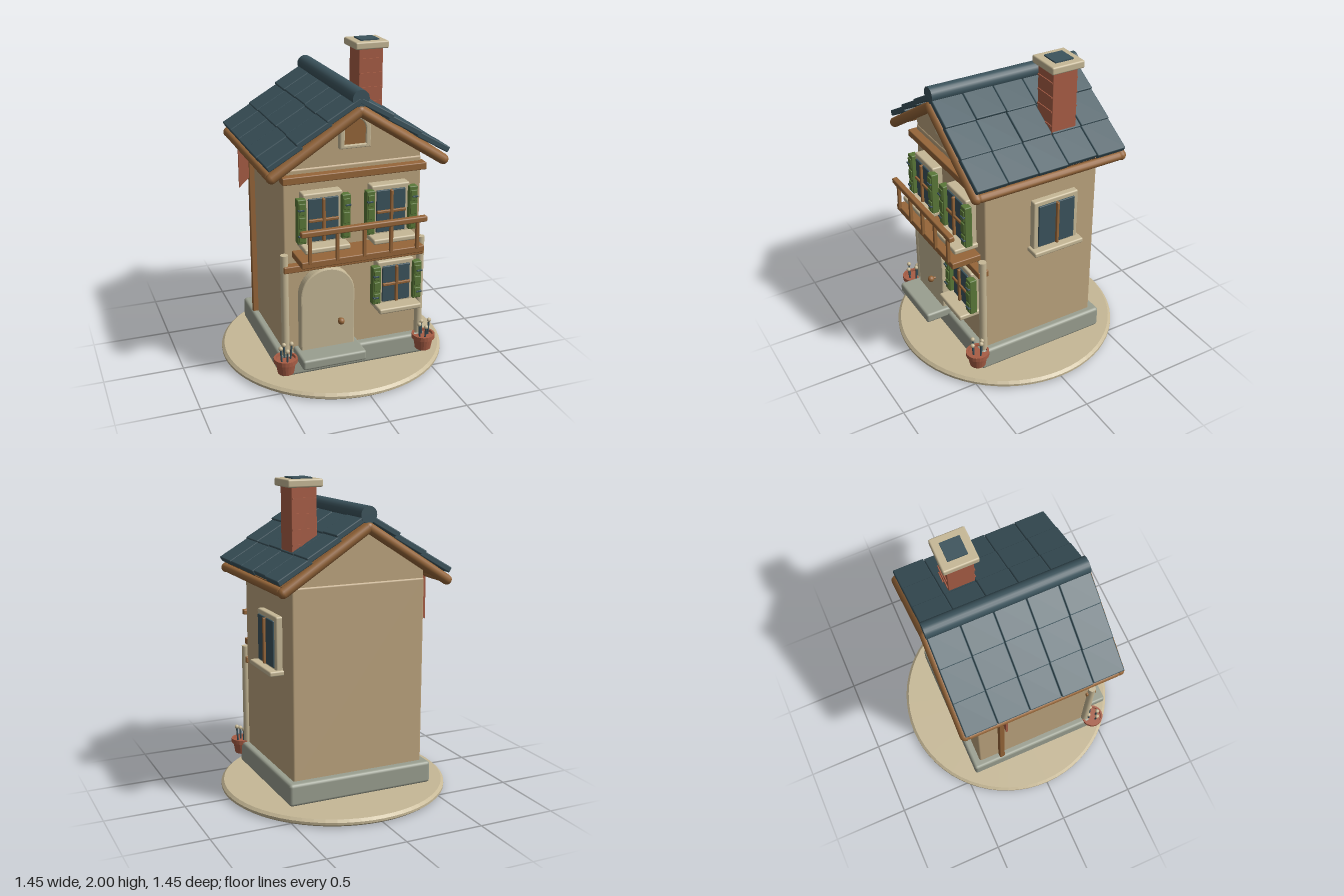
import * as THREE from 'three';
import { RoundedBoxGeometry } from 'three/addons/geometries/RoundedBoxGeometry.js';

const paint = (name, color) => {
  const m = new THREE.MeshStandardMaterial({ color });
  m.name = name;
  return m;
};

export function createModel() {
  const plaster = paint('plaster', 0xbca47e);
  const trim = paint('pale trim', 0xc6b896);
  const stone = paint('stone', 0x9a9f90);
  const slate = paint('slate blue', 0x3b535c);
  const wood = paint('wood', 0x966639);
  const brick = paint('brick', 0xa85d45);
  const green = paint('shutter green', 0x5a7838);

  const house = new THREE.Group();
  house.name = 'house';

  const add = (parent, name, geo, mat, x = 0, y = 0, z = 0) => {
    const m = new THREE.Mesh(geo, mat);
    m.name = name;
    m.position.set(x, y, z);
    parent.add(m);
    return m;
  };
  const group = (name, parent = house) => {
    const g = new THREE.Group();
    g.name = name;
    parent.add(g);
    return g;
  };
  // Box given by its x, y and z ranges, with softened edges
  const block = (parent, name, mat, x0, x1, y0, y1, z0, z1, r = 0.006) =>
    add(parent, name, r ? new RoundedBoxGeometry(x1 - x0, y1 - y0, z1 - z0, 2, r)
      : new THREE.BoxGeometry(x1 - x0, y1 - y0, z1 - z0),
    mat, (x0 + x1) / 2, (y0 + y1) / 2, (z0 + z1) / 2);
  // Round-ended beam between two points
  const rod = (parent, name, mat, a, b, r) => {
    const va = new THREE.Vector3(...a), vb = new THREE.Vector3(...b);
    const dir = vb.clone().sub(va);
    const m = add(parent, name, new THREE.CapsuleGeometry(r, dir.length(), 4, 12), mat);
    m.position.copy(va.add(vb).multiplyScalar(0.5));
    m.quaternion.setFromUnitVectors(new THREE.Vector3(0, 1, 0), dir.normalize());
    return m;
  };
  // Upright arch outline, base at y0, crown at y1
  const archShape = (Type, w, y0, y1) => {
    const s = new Type();
    s.moveTo(-w, y0);
    s.lineTo(w, y0);
    s.lineTo(w, y1 - w);
    s.absarc(0, y1 - w, w, 0, Math.PI, false);
    s.lineTo(-w, y0);
    return s;
  };
  const slab = (shape, depth, bevel = 0) => new THREE.ExtrudeGeometry(shape, {
    depth, curveSegments: 20, bevelEnabled: bevel > 0, bevelSize: bevel, bevelThickness: bevel, bevelSegments: 2, bevelOffset: -bevel,
  });

  // Ground disc
  const rim = [[0, 0], [0.705, 0], [0.725, 0.015], [0.725, 0.03], [0.708, 0.045], [0, 0.045]];
  const discGeo = new THREE.LatheGeometry(rim.map(p => new THREE.Vector2(...p)), 64).toNonIndexed();
  discGeo.computeVertexNormals();
  add(house, 'groundDisc', discGeo, trim);

  // Foundation, walls and gable
  block(house, 'foundation', stone, -0.48, 0.48, 0.07, 0.21, -0.44, 0.44, 0.02);
  block(house, 'walls', plaster, -0.436, 0.436, 0.19, 1.385, -0.388, 0.388, 0.012);
  const gable = new THREE.Shape([[-0.43, 1.36], [0.43, 1.36], [0.43, 1.45], [0, 1.73], [-0.43, 1.45]]
    .map(p => new THREE.Vector2(...p)));
  add(house, 'gable', slab(gable, 0.764), plaster, 0, 0, -0.382);
  block(house, 'upperBeam', wood, -0.45, 0.45, 1.31, 1.355, 0.37, 0.44);
  block(house, 'lowerBeam', wood, -0.45, 0.45, 0.76, 0.802, 0.37, 0.44);
  for (const s of [-1, 1])
    add(house, 'cornerColumn', new THREE.CylinderGeometry(0.024, 0.024, 0.66, 16), trim, s * 0.44, 0.54, 0.408);

  // Door with arched surround and step
  const door = group('door');
  door.position.x = -0.183;
  const surround = archShape(THREE.Shape, 0.172, 0.22, 0.765);
  surround.holes.push(archShape(THREE.Path, 0.12, 0.22, 0.712));
  add(door, 'doorSurround', slab(surround, 0.05, 0.008), trim, 0, 0, 0.4);
  add(door, 'doorLeaf', slab(archShape(THREE.Shape, 0.125, 0.22, 0.717), 0.06), slate, 0, 0, 0.38);
  for (const x of [-0.08, 0, 0.08])
    block(door, 'plankSeam', slate, x - 0.004, x + 0.004, 0.24, 0.51, 0.438, 0.446, 0);
  add(door, 'doorKnob', new THREE.SphereGeometry(0.021, 16, 12), wood, 0.073, 0.42, 0.49);
  rod(door, 'knobStem', wood, [0.073, 0.42, 0.44], [0.073, 0.42, 0.48], 0.008);
  block(door, 'doorStep', stone, -0.202, 0.203, 0.18, 0.245, 0.38, 0.59, 0.015);

  // Window facing local +z, measured from its glass size
  const addWindow = (name, w, h, sillDepth, crossBar) => {
    const g = group(name), x = w / 2, y = h / 2;
    block(g, 'windowFrame', trim, -x - 0.03, x + 0.03, -y - 0.02, y + 0.03, -0.05, 0.04, 0.01);
    block(g, 'windowGlass', slate, -x, x, -y, y, 0, 0.05, 0.004);
    block(g, 'mullion', wood, -0.009, 0.009, -y, y, 0.03, 0.066, 0.004);
    if (crossBar) block(g, 'crossBar', wood, -x, x, -0.009, 0.009, 0.03, 0.062, 0.004);
    block(g, 'windowSill', trim, -x - 0.048, x + 0.048, -y - 0.043, -y - 0.01, -0.04, sillDepth, 0.01);
    return g;
  };
  // Louvred shutters either side of a window
  const addShutters = (g, w, h) => {
    for (const s of [-1, 1]) {
      const c = s * (w / 2 + 0.044);
      block(g, 'shutter', green, c - 0.027, c + 0.027, -h / 2, h / 2 + 0.01, 0.02, 0.068);
      for (let i = -1; i <= 1; i++)
        block(g, 'shutterPanel', green, c - 0.02, c + 0.02, i * h * 0.32 - h * 0.13, i * h * 0.32 + h * 0.13, 0.06, 0.075, 0.004);
      for (const k of [-1, 1])
        block(g, 'shutterHinge', slate, c + s * 0.008 - 0.018, c + s * 0.008 + 0.018, k * h * 0.3 - 0.005, k * h * 0.3 + 0.005, 0.06, 0.082, 0.002);
    }
  };
  for (const [name, x, y, w, h] of [
    ['upperLeftWindow', 0.213, 1.088, 0.185, 0.265],
    ['upperRightWindow', -0.213, 1.088, 0.185, 0.265],
    ['lowerWindow', 0.258, 0.607, 0.18, 0.236],
  ]) {
    const win = addWindow(name, w, h, 0.13, true);
    win.position.set(x, y, 0.415);
    addShutters(win, w, h);
  }
  const side = addWindow('sideWindow', 0.25, 0.285, 0.09, false);
  side.position.set(0.436, 1.018, -0.08);
  side.rotation.y = Math.PI / 2;

  // Arched attic window
  const attic = archShape(THREE.Shape, 0.095, 1.485, 1.69);
  attic.holes.push(archShape(THREE.Path, 0.066, 1.508, 1.662));
  add(house, 'atticFrame', slab(attic, 0.035, 0.006), trim, 0, 0, 0.382);
  add(house, 'atticPane', slab(archShape(THREE.Shape, 0.07, 1.5, 1.667), 0.03), wood, 0, 0, 0.38);

  // Balcony
  const balcony = group('balcony');
  block(balcony, 'balconyFloor', wood, -0.385, 0.385, 0.84, 0.882, 0.38, 0.578);
  block(balcony, 'balconyRail', wood, -0.392, 0.392, 1.04, 1.075, 0.56, 0.597, 0.008);
  for (let i = -2; i <= 2; i++)
    block(balcony, 'balconyPost', wood, i * 0.168 - 0.01, i * 0.168 + 0.01, 0.87, 1.05, 0.567, 0.588, 0.003);

  // Roof: each slope is laid out along local x and then pitched
  let seed = 7;
  const rand = () => (seed = (seed * 16807) % 2147483647) / 2147483647;
  const pitch = Math.atan(0.65), course = 0.213;
  const roof = group('roof');
  for (const s of [1, -1]) {
    const half = group('roofHalf', roof);
    half.rotation.y = s > 0 ? 0 : Math.PI;
    const slope = group('slope', half);
    slope.position.y = 1.755;
    slope.rotation.z = -pitch;
    block(slope, 'roofDeck', wood, -0.01, 0.63, -0.03, 0.004, -0.485, 0.485, 0);
    for (let i = 0; i < 3; i++)
      for (let j = -2; j <= 2; j++) {
        const tile = add(slope, 'roofTile', new RoundedBoxGeometry(0.235, 0.036, 0.198, 2, 0.007), slate,
          (i + 0.5) * course - 0.01 + (rand() - 0.5) * 0.008, 0.028 + rand() * 0.006, j * 0.2 + s * 0.004);
        tile.rotation.z = 0.05;
      }
    rod(half, 'eaveBeam', wood, [0.537, 1.385, -0.465], [0.537, 1.385, 0.465], 0.026);
    for (const z of [-0.49, 0.49])
      rod(half, 'bargeBoard', wood, [0, 1.724, z], [0.53, 1.383, z], 0.032);
  }
  const ridge = add(roof, 'ridgeCap', new THREE.CylinderGeometry(0.051, 0.051, 1, 20), slate, 0, 1.797, 0.002);
  ridge.rotation.x = Math.PI / 2;

  // Chimney with raised brick courses
  const chimney = group('chimney');
  block(chimney, 'chimneyStack', brick, 0.22, 0.38, 1.5, 1.955, -0.26, -0.095, 0.004);
  for (const y of [1.61, 1.7, 1.79, 1.88])
    for (const z of [-0.262, -0.093])
      block(chimney, 'brickCourse', brick, 0.225, 0.375, y - 0.005, y + 0.005, z - 0.004, z + 0.004, 0);
  block(chimney, 'chimneyCap', trim, 0.19, 0.41, 1.945, 1.992, -0.287, -0.07, 0.01);
  block(chimney, 'flue', slate, 0.24, 0.362, 1.98, 2, -0.24, -0.118, 0);

  // Hanging banner and wall strip on the right side
  const banner = new THREE.Shape([[-0.535, 1.09], [-0.47, 1.15], [-0.47, 1.46], [-0.535, 1.42]]
    .map(p => new THREE.Vector2(...p)));
  add(house, 'banner', slab(banner, 0.012), brick, 0, 0, -0.236);
  block(house, 'wallStrip', wood, -0.47, -0.43, 0.18, 1.3, -0.25, -0.215, 0.004);

  // Flower pots
  const potProfile = [[0, 0], [0.05, 0], [0.062, 0.07], [0.073, 0.072], [0.073, 0.1], [0.06, 0.1], [0.058, 0.085], [0, 0.085]];
  const potGeo = new THREE.LatheGeometry(potProfile.map(p => new THREE.Vector2(...p)), 20).toNonIndexed();
  potGeo.computeVertexNormals();
  for (const s of [-1, 1]) {
    const pot = group('flowerPot');
    pot.position.set(s * 0.457, 0.12, 0.46);
    add(pot, 'pot', potGeo, brick);
    for (const [x, z, h] of [[-0.035, 0.015, 0.165], [0.002, 0.035, 0.15], [0.04, -0.005, 0.175], [0, -0.032, 0.16]]) {
      rod(pot, 'flowerStem', slate, [x * 0.8, 0.08, z * 0.8], [x, h, z], 0.006);
      add(pot, 'flowerHead', new THREE.SphereGeometry(0.014, 10, 8), trim, x, h + 0.008, z);
    }
  }
  return house;
}
